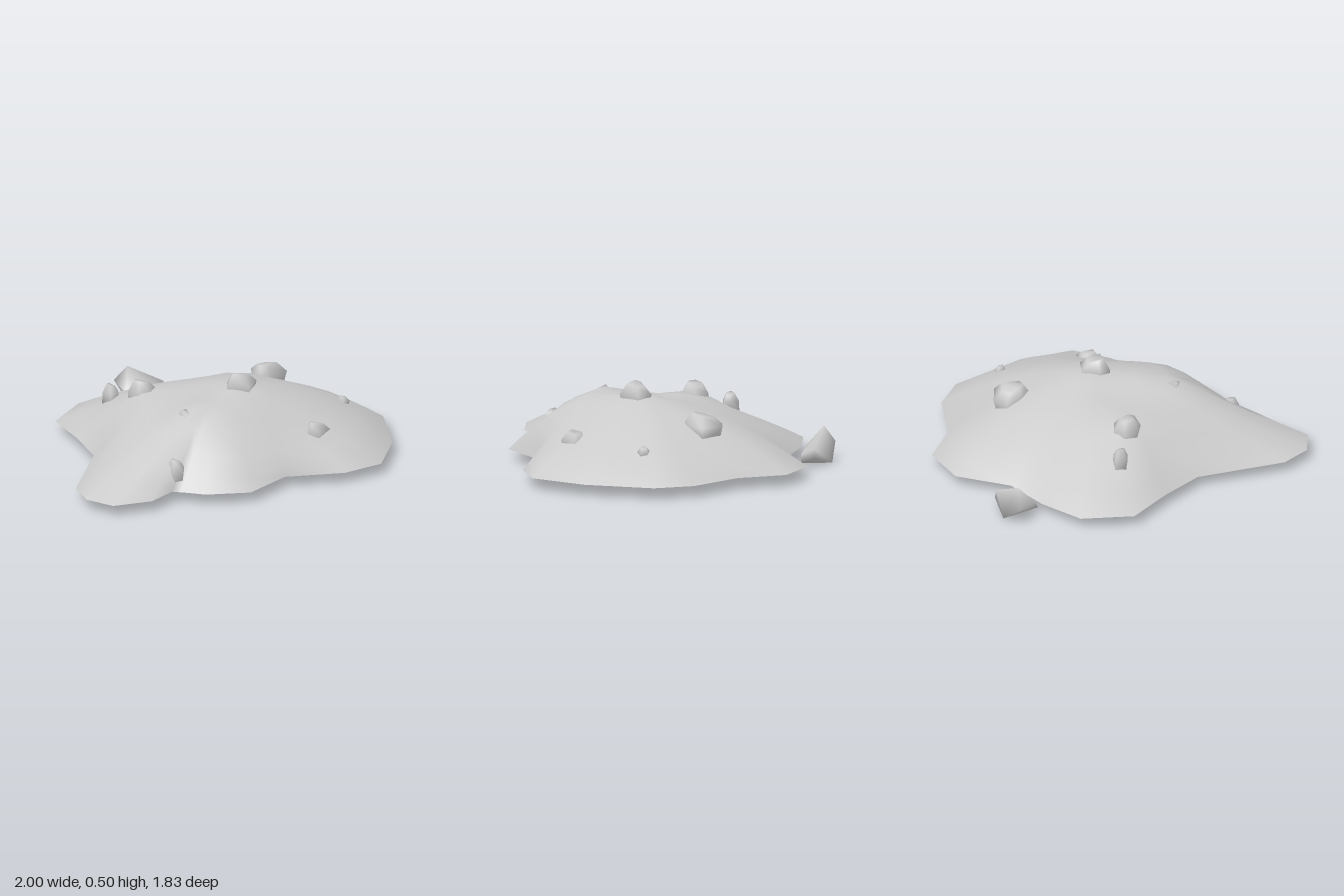
import * as THREE from 'three';
import { mergeVertices } from 'three/addons/utils/BufferGeometryUtils.js';
import { ConvexGeometry } from 'three/addons/geometries/ConvexGeometry.js';

const BASE = 0.065;
const CENTRE = [0.08, 0.15];

// Ground outline as [x, z]
const RIM = [
  [1, 0.02], [0.92, -0.2], [0.67, -0.43], [0.56, -0.7], [0.3, -0.8], [-0.01, -0.68],
  [-0.28, -0.73], [-0.56, -0.72], [-0.77, -0.5], [-0.74, -0.2], [-0.74, 0.08],
  [-1, 0.53], [-1, 0.72], [-0.89, 0.86], [-0.66, 0.86], [-0.51, 0.76], [-0.46, 0.78],
  [-0.34, 0.86], [-0.09, 0.91], [0.17, 0.74], [0.51, 0.79], [0.75, 0.72], [0.92, 0.42],
];

// Slope from the summit (t = 0) to the rim (t = 1) as [t, height share]
const SLOPE = [[0, 1], [0.14, 0.95], [0.28, 0.86], [0.45, 0.74], [0.62, 0.57], [0.78, 0.37], [0.91, 0.17], [1, 0]];

// Broad swellings and hollows: [x, z, height, radius]
const BUMPS = [
  [-0.45, -0.05, 0.08, 0.25], [0.38, 0.52, -0.06, 0.22], [-0.15, 0.55, 0.04, 0.2],
  [-0.16, 0.05, -0.035, 0.18], [-0.34, 0.42, 0.05, 0.2],
];

function moundGeometry() {
  const pos = [], index = [], n = RIM.length;
  for (const [t, share] of SLOPE) {
    for (const [rx, rz] of RIM) {
      // Inner rings grow rounder towards the summit
      const dx = rx - CENTRE[0], dz = rz - CENTRE[1], r = Math.hypot(dx, dz);
      const s = t * THREE.MathUtils.lerp(1, 0.85 / r, Math.min(1, (1 - t) * 1.4));
      const x = CENTRE[0] + dx * s, z = CENTRE[1] + dz * s;
      let y = BASE + 0.365 * share;
      for (const [bx, bz, h, w] of BUMPS) {
        y += h * Math.exp(-((x - bx) ** 2 + (z - bz) ** 2) / (w * w)) * Math.min(1, (1 - t) * 4);
      }
      pos.push(x, y, z);
    }
  }
  for (let i = 0; i < SLOPE.length - 1; i++) {
    for (let j = 0; j < n; j++) {
      const a = i * n + j, b = i * n + (j + 1) % n, c = a + n, d = b + n;
      if (i > 0) index.push(a, d, b);
      index.push(a, c, d);
    }
  }
  const geo = new THREE.BufferGeometry();
  geo.setAttribute('position', new THREE.Float32BufferAttribute(pos, 3));
  geo.setIndex(index);
  const merged = mergeVertices(geo);
  merged.computeVertexNormals();
  return merged;
}

// Convex stone with softened shading
function stoneGeometry(points) {
  const hull = new ConvexGeometry(points.map((p) => new THREE.Vector3(...p)));
  hull.deleteAttribute('normal');
  const geo = mergeVertices(hull, 1e-4);
  geo.computeVertexNormals();
  return geo;
}

// Stone from a plan outline: buried foot, full girdle, smaller tilted crown
function outlineStone(y0, y1, foot, outline) {
  const cx = outline.reduce((s, p) => s + p[0], 0) / outline.length;
  const cz = outline.reduce((s, p) => s + p[1], 0) / outline.length;
  const points = [];
  for (const [f, scale, tilt] of [[0, foot, 0], [0.6, 1, 0], [0.92, 0.55, 0.08]]) {
    outline.forEach(([x, z], i) => points.push([
      cx + (x - cx) * scale,
      y0 + (y1 - y0) * (f + tilt * Math.cos(i * 1.3)),
      cz + (z - cz) * scale,
    ]));
  }
  return stoneGeometry(points);
}

// [name, bottom, top, foot scale, plan outline]
const STONES = [
  ['summitStone', 0.33, 0.5, 0.8, [[0.01, 0.2], [0.03, 0.14], [0.13, 0.09], [0.2, 0.16], [0.12, 0.27]]],
  ['leftShoulderStone', 0.24, 0.41, 0.85, [[-0.47, -0.12], [-0.43, -0.19], [-0.36, -0.2], [-0.3, -0.13], [-0.35, -0.05], [-0.43, -0.05]]],
  ['backPebble', 0.2, 0.33, 1.1, [[-0.55, -0.32], [-0.51, -0.36], [-0.46, -0.32], [-0.47, -0.28], [-0.52, -0.27]]],
  ['backSlopeStone', 0.21, 0.38, 0.8, [[0.31, -0.13], [0.3, -0.21], [0.33, -0.32], [0.42, -0.33], [0.51, -0.22], [0.38, -0.1]]],
  ['sidePebble', 0.18, 0.25, 0.8, [[0.7, 0.1], [0.72, 0.06], [0.76, 0.07], [0.77, 0.11], [0.73, 0.13]]],
  ['frontSlopeStone', 0.14, 0.28, 0.8, [[0.37, 0.54], [0.4, 0.44], [0.46, 0.44], [0.52, 0.5], [0.43, 0.58]]],
  ['innerStone', 0.22, 0.4, 1.1, [[-0.35, 0.36], [-0.27, 0.32], [-0.24, 0.45], [-0.31, 0.46]]],
  ['frontNotchStone', 0.08, 0.23, 0.8, [[-0.51, 0.67], [-0.46, 0.61], [-0.4, 0.66], [-0.43, 0.74], [-0.49, 0.73]]],
];

export function createModel() {
  const group = new THREE.Group();
  const material = new THREE.MeshStandardMaterial({ color: 0xcccccc });
  const shell = new THREE.MeshStandardMaterial({ color: 0xcccccc, side: THREE.DoubleSide });
  const add = (name, geometry, mat = material) => {
    const mesh = new THREE.Mesh(geometry, mat);
    mesh.name = name;
    group.add(mesh);
  };

  // Open earth mound
  add('mound', moundGeometry(), shell);

  // Stones half sunk in the slope
  for (const [name, y0, y1, foot, outline] of STONES) add(name, outlineStone(y0, y1, foot, outline));

  // Pointed boulder lying behind the mound
  add('looseBoulder', stoneGeometry([
    [-0.28, 0.1, -0.92], [-0.15, 0, -0.91], [-0.01, 0.05, -0.82], [-0.02, 0.1, -0.82],
    [-0.07, 0.01, -0.74], [-0.08, 0.06, -0.74], [-0.26, 0.04, -0.74], [-0.26, 0.08, -0.76],
    [-0.22, 0.2, -0.86],
  ]));

  return group;
}
